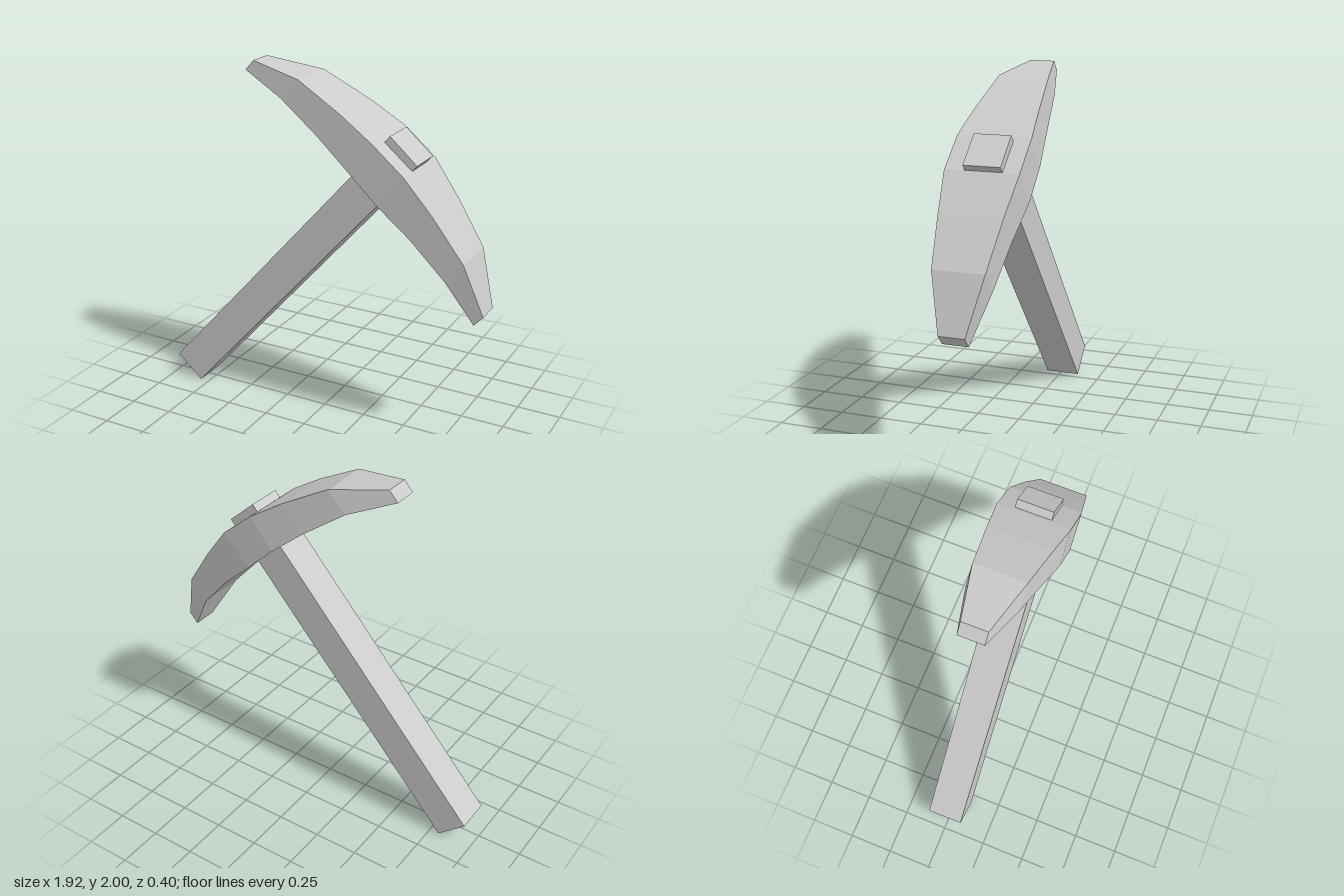
import * as THREE from 'three';

const material = new THREE.MeshStandardMaterial({ color: 0xcccccc, flatShading: true });

// Head stations from one tip to the other: outer x, y, inner x, y, half depth
const stations = [
  [-0.39, 2.0, -0.44, 1.945, 0.07],
  [-0.08, 1.945, -0.185, 1.835, 0.14],
  [0.18, 1.805, 0.05, 1.67, 0.175],
  [0.37, 1.685, 0.235, 1.52, 0.2],
  [0.55, 1.535, 0.4, 1.365, 0.2],
  [0.7, 1.345, 0.58, 1.2, 0.172],
  [0.865, 1.105, 0.77, 0.99, 0.14],
  [0.96, 0.805, 0.91, 0.75, 0.07],
];

// Loft a four-sided bar through the stations and cap both tips
function headGeometry() {
  const positions = [];
  const index = [];
  for (const [ox, oy, ix, iy, d] of stations) {
    positions.push(ox, oy, d, ox, oy, -d, ix, iy, -d, ix, iy, d);
  }
  const last = (stations.length - 1) * 4;
  for (let s = 0; s < last; s += 4) {
    for (let k = 0; k < 4; k++) {
      const a = s + k;
      const b = s + ((k + 1) % 4);
      index.push(a, a + 4, b + 4, a, b + 4, b);
    }
  }
  index.push(0, 1, 2, 0, 2, 3);
  index.push(last, last + 2, last + 1, last, last + 3, last + 2);

  const indexed = new THREE.BufferGeometry();
  indexed.setAttribute('position', new THREE.Float32BufferAttribute(positions, 3));
  indexed.setIndex(index);
  const geometry = indexed.toNonIndexed();
  geometry.computeVertexNormals();
  return geometry;
}

export function createModel() {
  const group = new THREE.Group();
  group.name = 'pickaxe';

  // Square handle, passing through the head and showing above it
  const handle = new THREE.Mesh(new THREE.BoxGeometry(2.085, 0.205, 0.2), material);
  handle.name = 'handle';
  handle.position.set(-0.192, 0.853, -0.01);
  handle.rotation.z = Math.atan2(1.565, 1.38);
  group.add(handle);

  // Curved head, tapering towards both tips
  const head = new THREE.Mesh(headGeometry(), material);
  head.name = 'head';
  group.add(head);

  return group;
}
